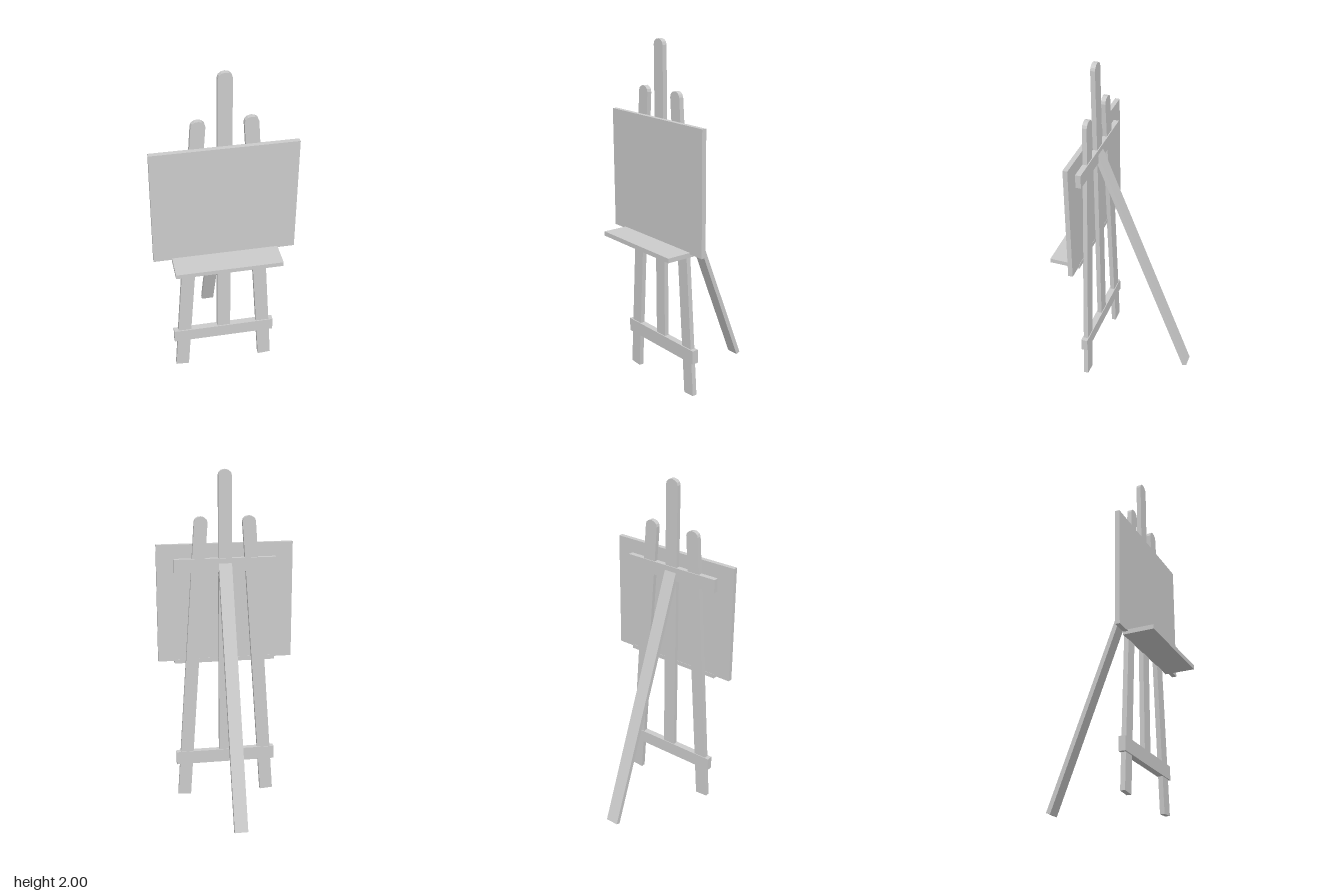
import * as THREE from 'three';

const CX = 0.003; // the frame sits slightly off the board's centre line
const WIDTH = 0.078;

export function createModel() {
  const model = new THREE.Group();
  model.name = 'easel';
  const material = new THREE.MeshStandardMaterial({ color: 0xcccccc, flatShading: true });

  function add(name, geometry, x, y, z) {
    const mesh = new THREE.Mesh(geometry, material);
    mesh.name = name;
    mesh.position.set(x, y, z);
    model.add(mesh);
    return mesh;
  }

  // Box given by its limits on each axis
  function slab(name, [x0, x1], [y0, y1], [z0, z1]) {
    return add(name, new THREE.BoxGeometry(x1 - x0, y1 - y0, z1 - z0),
      (x0 + x1) / 2, (y0 + y1) / 2, (z0 + z1) / 2);
  }

  // Flat wooden strip standing on its origin, with a rounded upper end
  function strip(length, depth, rise = 0.032, segments = 6) {
    const shape = new THREE.Shape();
    shape.moveTo(-WIDTH / 2, 0);
    shape.lineTo(WIDTH / 2, 0);
    for (let i = 0; i <= segments; i++) {
      const a = (i / segments) * Math.PI;
      shape.lineTo(Math.cos(a) * WIDTH / 2, length - rise + Math.sin(a) * rise);
    }
    shape.closePath();
    const geometry = new THREE.ExtrudeGeometry(shape, { depth, bevelEnabled: false });
    return geometry.translate(0, 0, -depth / 2);
  }

  // Upright strips: centre post and two splayed front legs
  add('centrePost', strip(1.75, 0.027), CX, 0.25, 0.195);
  for (const side of [-1, 1]) {
    const leg = add(side > 0 ? 'leftFrontLeg' : 'rightFrontLeg',
      strip(1.735, 0.027), CX + side * 0.259, 0.003, 0.195);
    leg.rotation.z = side * 0.069;
  }

  // Rear prop leg leaning back from the upper crossbar
  const rearLeg = add('rearLeg', strip(1.58, 0.027), CX, 0.005, -0.3705);
  rearLeg.rotation.x = 0.368;

  // Crossbars joining the uprights
  const span = [CX - 0.304, CX + 0.304];
  slab('lowerCrossbar', span, [0.208, 0.288], [0.177, 0.215]);
  slab('upperCrossbar', span, [1.41, 1.49], [0.176, 0.208]);

  // Shelf and the board resting on it
  slab('shelf', span, [0.853, 0.879], [0.205, 0.383]);
  slab('board', [-0.405, 0.405], [0.87, 1.573], [0.207, 0.234]);

  return model;
}
